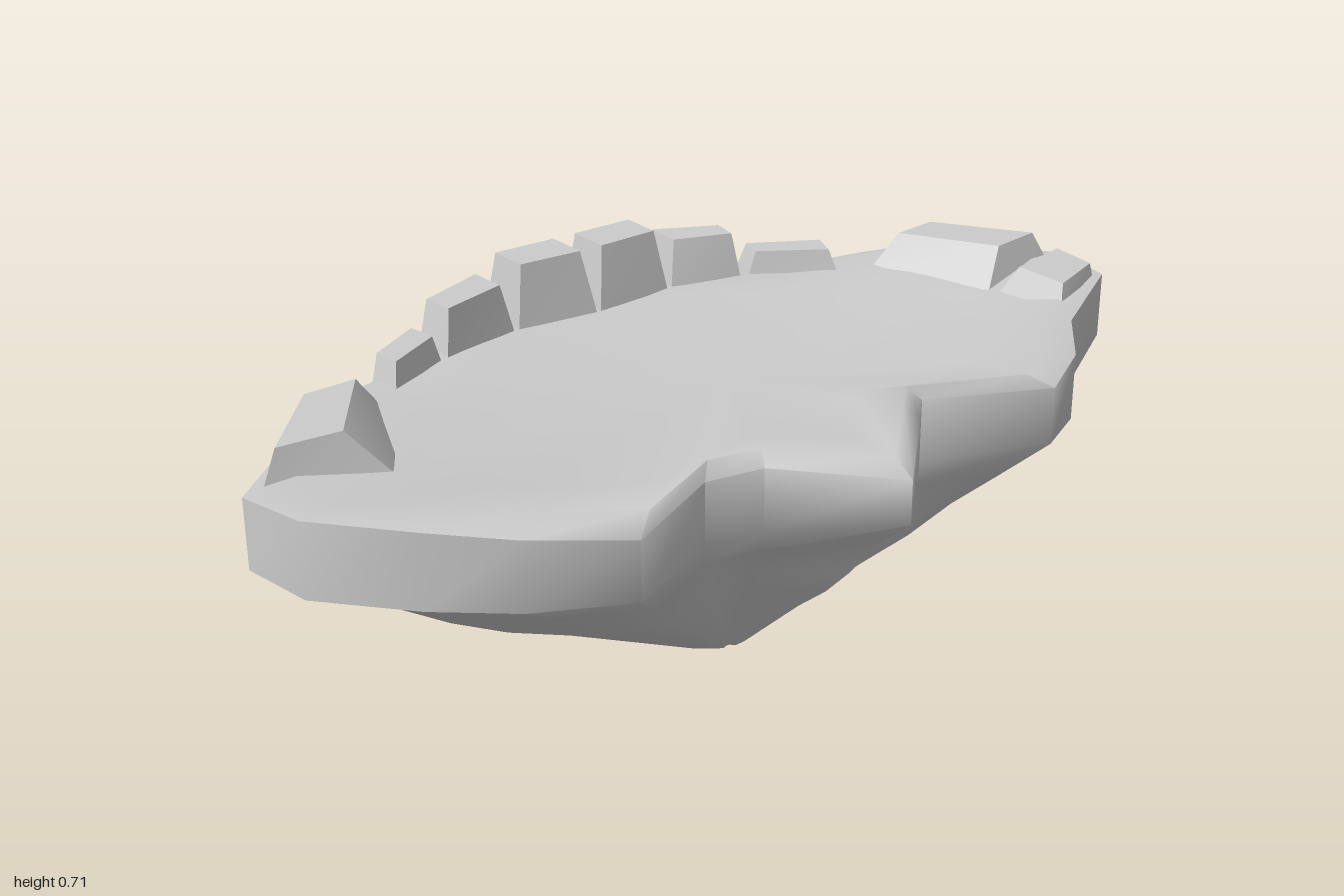
import * as THREE from 'three';
import { toCreasedNormals } from 'three/addons/utils/BufferGeometryUtils.js';

const material = new THREE.MeshStandardMaterial({ color: 0xcccccc, side: THREE.DoubleSide });
const CX = 0.06, CZ = -0.02; // plan position of the tip under the island

// Rim outline: [x, z, top of rim, bottom of rim]
const RIM = [
  [0, -1, 0.61, 0.47], [0.15, -0.97, 0.61, 0.47], [0.28, -0.74, 0.6, 0.45],
  [0.38, -0.65, 0.58, 0.44], [0.44, -0.53, 0.56, 0.44], [0.34, -0.27, 0.57, 0.44],
  [0.4, -0.21, 0.57, 0.44], [0.575, -0.03, 0.56, 0.47], [0.39, 0.16, 0.57, 0.44],
  [0.37, 0.28, 0.57, 0.44], [0.465, 0.49, 0.56, 0.44], [0.375, 0.67, 0.58, 0.44],
  [0.28, 0.81, 0.6, 0.45], [0.155, 0.965, 0.62, 0.47], [0, 0.99, 0.61, 0.47],
  [-0.2, 0.78, 0.6, 0.45], [-0.3, 0.68, 0.59, 0.44], [-0.39, 0.49, 0.57, 0.44],
  [-0.49, 0.34, 0.57, 0.45], [-0.58, 0.16, 0.56, 0.47], [-0.58, -0.22, 0.56, 0.47],
  [-0.49, -0.4, 0.57, 0.45], [-0.37, -0.56, 0.57, 0.44], [-0.31, -0.69, 0.59, 0.44],
  [-0.25, -0.82, 0.6, 0.45],
];

function build(name, positions, index, crease) {
  const g = new THREE.BufferGeometry();
  g.setAttribute('position', new THREE.Float32BufferAttribute(positions, 3));
  g.setIndex(index);
  const mesh = new THREE.Mesh(toCreasedNormals(g, crease), material);
  mesh.name = name;
  return mesh;
}

// Island: rings of the outline from the middle of the floor, over the rim, down to the tip
function island() {
  const rings = [
    [0, () => 0.578], [0.7, () => 0.582], [0.91, (t) => 0.59 + (t - 0.56) * 0.5],
    [1, (t) => t], [1, (t, b) => b],
    [0.84, (t, b) => b - 0.07], [0.7, () => 0.31], [0.57, () => 0.24],
    [0.42, () => 0.175], [0.1, () => 0.02], [0.05, () => 0], [0, () => 0],
  ];
  const n = RIM.length, pos = [], idx = [];
  rings.forEach(([s, y], k) => {
    RIM.forEach(([x, z, t, b]) => pos.push(CX + (x - CX) * s, y(t, b), CZ + (z - CZ) * s));
    if (k === 0) return;
    for (let i = 0; i < n; i++) {
      const j = (i + 1) % n, u = (k - 1) * n, l = k * n;
      if (k > 1) idx.push(u + i, u + j, l + j);
      if (k < rings.length - 1) idx.push(u + i, l + j, l + i);
      else continue;
    }
  });
  return build('island', pos, idx, 0.95);
}

// Tapered stone on a four-cornered base: two outer corners, then two inner ones
function stone(name, corners, top, innerInset) {
  const pos = [], idx = [0 + 4, 5, 6, 4, 6, 7];
  const mix = (a, b, t) => a + (b - a) * t;
  corners.forEach(([x, z]) => pos.push(x, 0.55, z));
  corners.forEach((c, i) => {
    const side = corners[i ^ 1];      // neighbour along the rim
    const across = corners[3 - i];    // neighbour across the rim
    const a = i < 2 ? 0.12 : innerInset;
    pos.push(
      mix(c[0], side[0], 0.14) + (across[0] - c[0]) * a, top,
      mix(c[1], side[1], 0.14) + (across[1] - c[1]) * a);
  });
  for (let i = 0; i < 4; i++) {
    const j = (i + 1) % 4;
    idx.push(i, j, 4 + j, i, 4 + j, 4 + i);
  }
  return build(name, pos, idx, 0.7);
}

export function createModel() {
  const group = new THREE.Group();
  group.add(island());

  // Row of stones along the curved rim: stations are [outer x, outer z, inner x, inner z]
  const stations = [
    [-0.32, -0.61, -0.23, -0.57], [-0.43, -0.41, -0.355, -0.39], [-0.53, -0.225, -0.4, -0.225],
    [-0.53, -0.03, -0.385, -0.03], [-0.53, 0.17, -0.4, 0.165],
    [-0.44, 0.385, -0.345, 0.37], [-0.34, 0.55, -0.255, 0.54],
  ];
  const tops = [0.64, 0.685, 0.715, 0.715, 0.685, 0.645];
  tops.forEach((top, i) => {
    const a = stations[i], b = stations[i + 1];
    group.add(stone('rimStone' + (i + 1),
      [[a[0], a[1]], [b[0], b[1]], [b[2], b[3]], [a[2], a[3]]], top, 0.2));
  });

  // Large stones at both ends
  group.add(stone('frontEndStone', [[-0.23, 0.75], [0, 0.975], [0.04, 0.68], [-0.26, 0.55]], 0.67, 0.4));
  group.add(stone('backEndStone', [[0.01, -0.985], [-0.25, -0.8], [-0.23, -0.6], [0.05, -0.72]], 0.665, 0.4));
  group.add(stone('backCornerStone', [[0.15, -0.96], [0.01, -0.985], [0.05, -0.72], [0.25, -0.74]], 0.64, 0.3));
  return group;
}
